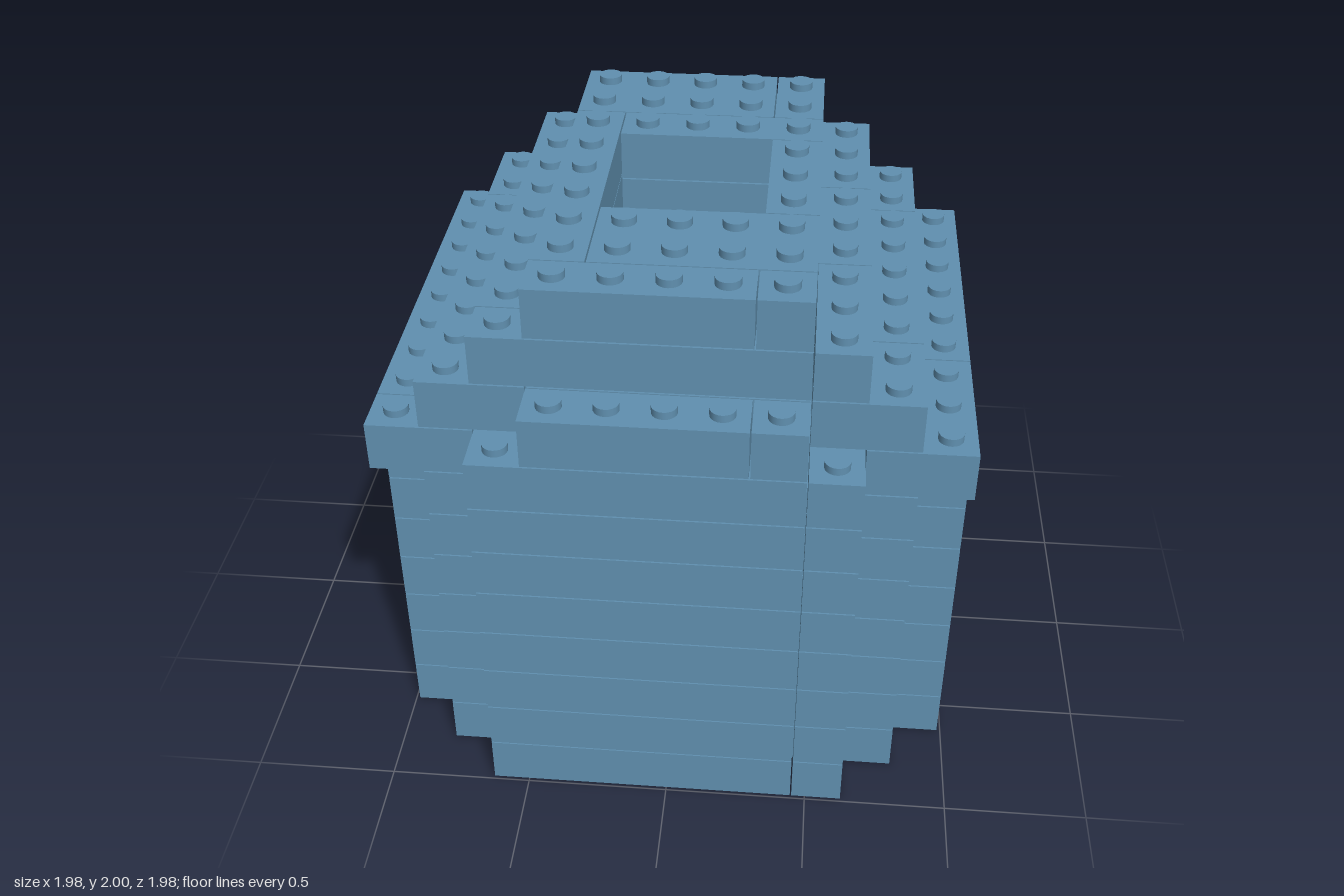
import * as THREE from 'three';

const P = 0.18;          // stud pitch and course height
const GAP = 0.005;       // joint between bricks
const STUD_R = 0.042, STUD_H = 0.027;
const CELLS = 11;

// Bricks are [x0, x1, z0, z1] in cell edges, 0..11 from -x / -z.
const endWalls = [
  [2, 8, 10, 11], [8, 9, 10, 11], [1, 10, 9, 10],
  [2, 8, 0, 1], [8, 9, 0, 1], [1, 10, 1, 2],
];
const base = [...endWalls, [0, 9, 2, 6], [0, 9, 6, 8], [0, 9, 8, 9], [9, 11, 2, 9]];
const wall = [...endWalls, [0, 2, 2, 9], [9, 11, 2, 3], [9, 11, 3, 9]];
const eaves = [
  [0, 2, 1, 9], [0, 2, 9, 10], [9, 11, 1, 7], [9, 11, 7, 10],
  [2, 8, 9, 11], [8, 9, 9, 11], [2, 8, 0, 2], [8, 9, 0, 2],
];
const lowerRoof = [
  [3, 7, 10, 11], [7, 8, 10, 11], [3, 7, 0, 1], [7, 8, 0, 1],
  [1, 3, 1, 3], [1, 3, 3, 10],
  [8, 10, 1, 3], [8, 10, 3, 8], [8, 10, 8, 10],
  [3, 8, 9, 10], [3, 8, 1, 2],
];
const middleRoof = [
  [2, 8, 9, 10], [8, 9, 7, 10], [2, 4, 1, 9],
  [4, 9, 1, 4], [7, 9, 4, 7], [4, 8, 7, 9],
];
const topRoof = [
  [3, 7, 1, 3], [7, 8, 1, 3], [3, 4, 3, 9], [4, 8, 3, 4],
  [7, 8, 4, 7], [4, 8, 7, 9], [3, 7, 9, 10], [7, 8, 9, 10],
];

const courses = [
  ...Array(3).fill(['baseCourse', base]),
  ...Array(4).fill(['wallCourse', wall]),
  ['eavesCourse', eaves],
  ['lowerRoofCourse', lowerRoof],
  ['middleRoofCourse', middleRoof],
  ['topRoofCourse', topRoof],
];

const edge = (i) => (i - CELLS / 2) * P;
const covers = (bricks, x, z) =>
  bricks.some(([x0, x1, z0, z1]) => x >= x0 && x < x1 && z >= z0 && z < z1);

export function createModel() {
  const model = new THREE.Group();
  model.name = 'brickHouse';
  const blue = new THREE.MeshStandardMaterial({ color: 0x6090b0 });
  blue.name = 'steelBlue';
  const studGeometry = new THREE.CylinderGeometry(STUD_R, STUD_R, STUD_H, 20);

  courses.forEach(([name, bricks], level) => {
    const course = new THREE.Group();
    course.name = `${name}${level + 1}`;
    const top = (level + 1) * P - GAP;

    // bricks of this course
    for (const [x0, x1, z0, z1] of bricks) {
      const brick = new THREE.Mesh(
        new THREE.BoxGeometry((x1 - x0) * P - GAP, P - GAP, (z1 - z0) * P - GAP), blue);
      brick.name = 'brick';
      brick.position.set((edge(x0) + edge(x1)) / 2, top - (P - GAP) / 2, (edge(z0) + edge(z1)) / 2);
      course.add(brick);
    }

    // studs wherever the next course leaves a cell open
    const above = courses[level + 1]?.[1] ?? [];
    for (let x = 0; x < CELLS; x++) {
      for (let z = 0; z < CELLS; z++) {
        if (!covers(bricks, x, z) || covers(above, x, z)) continue;
        const stud = new THREE.Mesh(studGeometry, blue);
        stud.name = 'stud';
        stud.position.set(edge(x + 0.5), top + STUD_H / 2, edge(z + 0.5));
        course.add(stud);
      }
    }
    model.add(course);
  });
  return model;
}
